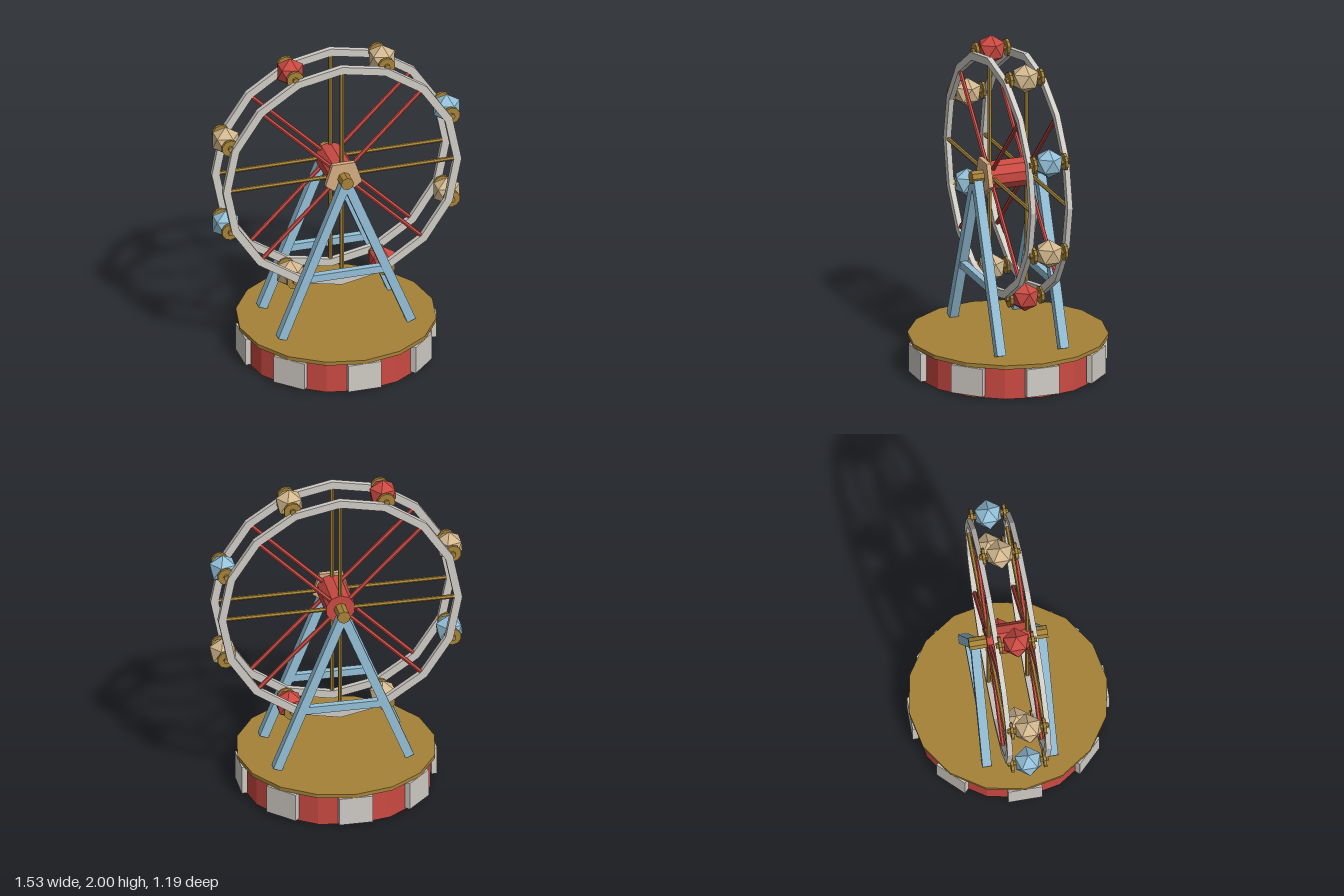
import * as THREE from 'three';

const mat = (name, color) => {
  const m = new THREE.MeshStandardMaterial({ color, flatShading: true });
  m.name = name;
  return m;
};

export function createModel() {
  const red = mat('red', 0xcb4a42), white = mat('off white', 0xd0ccc6), gold = mat('gold', 0xa58238);
  const blue = mat('light blue', 0x94c0d8), cream = mat('cream', 0xd4b98f), peach = mat('peach', 0xd6ad82);
  const root = new THREE.Group();
  root.name = 'ferrisWheel';

  const add = (parent, name, geo, material, x = 0, y = 0, z = 0) => {
    const mesh = new THREE.Mesh(geo, material);
    mesh.name = name;
    mesh.position.set(x, y, z);
    parent.add(mesh);
    return mesh;
  };
  // cylinder lying along z
  const drumZ = (r, length, sides) => new THREE.CylinderGeometry(r, r, length, sides).rotateX(Math.PI / 2);

  // Base: round drum, lid and eight panels
  const base = new THREE.Group();
  base.name = 'base';
  root.add(base);
  add(base, 'drum', new THREE.CylinderGeometry(0.57, 0.57, 0.2, 16), red, 0, 0.1, 0);
  add(base, 'lid', new THREE.CylinderGeometry(0.597, 0.597, 0.024, 16), gold, 0, 0.207, 0);
  const panelGeo = new THREE.BoxGeometry(0.205, 0.175, 0.035);
  for (let i = 0; i < 8; i++) {
    const a = i * Math.PI / 4;
    const panel = add(base, 'panel', panelGeo, white, Math.sin(a) * 0.574, 0.104, Math.cos(a) * 0.574);
    panel.rotation.y = a;
  }

  // A-frame supports, front and back
  const hubY = 1.222, footX = 0.4, footY = 0.225;
  const legLength = Math.hypot(footX, hubY - footY);
  const legGeo = new THREE.BoxGeometry(0.055, legLength, 0.055);
  for (const z of [0.2, -0.2]) {
    for (const s of [1, -1]) {
      const leg = add(root, 'leg', legGeo, blue, s * footX / 2, (hubY + footY) / 2, z);
      leg.rotation.z = s * Math.atan2(footX, hubY - footY);
    }
    add(root, 'crossBeam', new THREE.BoxGeometry(0.48, 0.046, 0.04), blue, 0, 0.6, z);
  }

  // Wheel centre
  const wheel = new THREE.Group();
  wheel.name = 'wheel';
  wheel.position.y = hubY;
  root.add(wheel);
  add(wheel, 'axle', drumZ(0.04, 0.472, 8), gold);
  add(wheel, 'hub', drumZ(0.09, 0.264, 10), red);
  add(wheel, 'hubPlate', drumZ(0.12, 0.028, 5), peach, 0, 0, 0.148);

  // Sixteen-sided rims with eight spokes each
  const ringPoints = r => Array.from({ length: 16 }, (_, i) =>
    new THREE.Vector2(Math.cos(i * Math.PI / 8) * r, Math.sin(i * Math.PI / 8) * r));
  const ring = new THREE.Shape(ringPoints(0.738));
  ring.holes.push(new THREE.Path(ringPoints(0.69).reverse()));
  const rimGeo = new THREE.ExtrudeGeometry(ring, { depth: 0.032, bevelEnabled: false }).translate(0, 0, -0.016);
  const spokeGeo = new THREE.CylinderGeometry(0.013, 0.013, 0.7, 6).translate(0, 0.35, 0);
  for (const z of [0.116, -0.116]) {
    add(wheel, 'rim', rimGeo, white, 0, 0, z);
    for (let i = 0; i < 8; i++) {
      add(wheel, 'spoke', spokeGeo, i % 2 ? red : gold, 0, 0, z).rotation.z = i * Math.PI / 4;
    }
  }

  // Faceted cabins, upright, hung between the rims on discs and pins
  const cabinGeo = new THREE.IcosahedronGeometry(0.09).rotateZ(-Math.atan(2 / (1 + Math.sqrt(5))));
  const discGeo = drumZ(0.053, 0.018, 10), pinGeo = drumZ(0.018, 0.05, 8);
  const cabinColours = [blue, cream, red, cream];
  for (let i = 0; i < 8; i++) {
    const a = (i + 0.5) * Math.PI / 4;
    const cabin = new THREE.Group();
    cabin.name = 'cabin';
    cabin.position.set(Math.cos(a) * 0.741, Math.sin(a) * 0.741, 0);
    wheel.add(cabin);
    add(cabin, 'cabinBody', cabinGeo, cabinColours[i % 4]);
    for (const s of [1, -1]) {
      add(cabin, 'mountDisc', discGeo, gold, 0, 0, s * 0.098);
      add(cabin, 'mountPin', pinGeo, gold, 0, 0, s * 0.098);
    }
  }
  return root;
}
